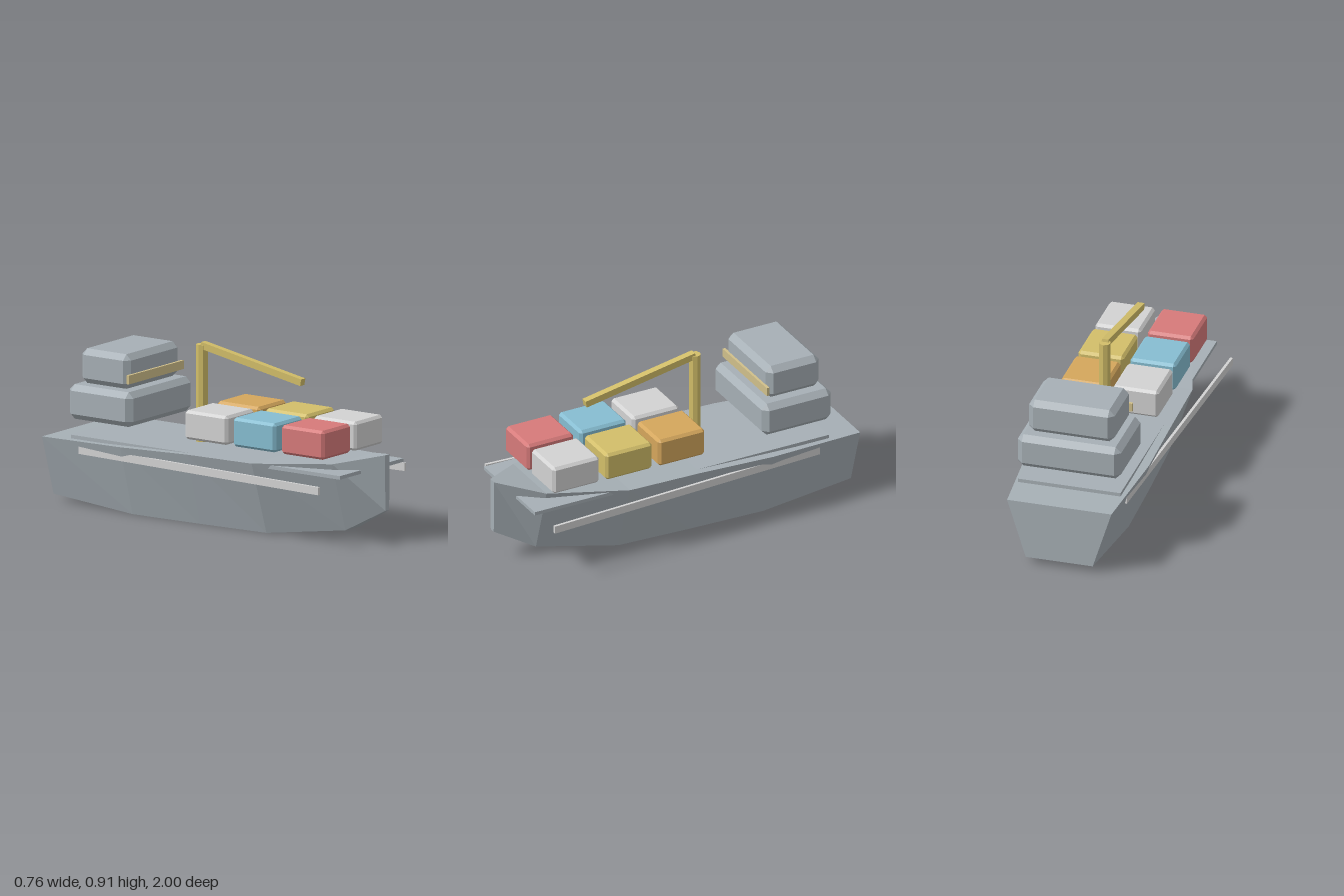
import * as THREE from 'three';
import { ConvexGeometry } from 'three/addons/geometries/ConvexGeometry.js';

const material = (name, color) => {
  const m = new THREE.MeshStandardMaterial({ color });
  m.name = name;
  return m;
};

// Box with every edge and corner cut flat by c
function chamferBox(w, h, d, c) {
  const points = [];
  for (const sx of [-1, 1]) for (const sy of [-1, 1]) for (const sz of [-1, 1]) {
    for (let full = 0; full < 3; full++) {
      const cut = [0, 1, 2].map((axis) => (axis === full ? 0 : c));
      points.push(new THREE.Vector3(
        sx * (w / 2 - cut[0]), sy * (h / 2 - cut[1]), sz * (d / 2 - cut[2])));
    }
  }
  return new ConvexGeometry(points);
}

// Four-cornered cross-sections lofted from bow to stern, with flat facets
function hullGeometry() {
  // z, deck half width, deck height, keel half width, keel height
  const stations = [
    [1, 0.021, 0.462, 0.016, 0.17],
    [0.78, 0.18, 0.415, 0.065, 0.048],
    [0.36, 0.308, 0.387, 0.18, 0.001],
    [-0.05, 0.316, 0.384, 0.2, 0],
    [-0.47, 0.322, 0.37, 0.214, 0],
    [-1, 0.28, 0.353, 0.18, 0.035],
  ];
  const rings = stations.map(([z, tw, ty, bw, by]) =>
    [[-tw, ty, z], [tw, ty, z], [bw, by, z], [-bw, by, z]]);
  const pos = [];
  const quad = (a, b, c, d) => pos.push(...a, ...b, ...c, ...a, ...c, ...d);
  for (let s = 0; s < rings.length - 1; s++) {
    for (let i = 0; i < 4; i++) {
      const j = (i + 1) % 4;
      quad(rings[s][i], rings[s][j], rings[s + 1][j], rings[s + 1][i]);
    }
  }
  const bow = rings[0], stern = rings[rings.length - 1];
  quad(bow[0], bow[3], bow[2], bow[1]);
  quad(stern[0], stern[1], stern[2], stern[3]);
  const g = new THREE.BufferGeometry();
  g.setAttribute('position', new THREE.Float32BufferAttribute(pos, 3));
  g.computeVertexNormals();
  return g;
}

export function createModel() {
  const grey = material('hull grey', 0xa6afb5);
  const pale = material('pale grey', 0xd2d2d2);
  const red = material('red', 0xd67a7a);
  const blue = material('blue', 0x86bdd1);
  const yellow = material('yellow', 0xd2be69);
  const orange = material('orange', 0xd4a65c);
  const tan = material('window tan', 0xd0bf8a);

  const ship = new THREE.Group();
  ship.name = 'cargoShip';
  const add = (name, geometry, mat, x, y, z) => {
    const mesh = new THREE.Mesh(geometry, mat);
    mesh.name = name;
    mesh.position.set(x, y, z);
    ship.add(mesh);
    return mesh;
  };

  // Hull and the flat deck plate through it
  add('hull', hullGeometry(), grey, 0, 0, 0);
  add('deckPlate', new THREE.BoxGeometry(0.55, 0.019, 1.72), grey, 0, 0.3745, 0.04);

  // Side rails splaying outwards towards the bow
  for (const side of [-1, 1]) {
    const rail = add(side > 0 ? 'leftRail' : 'rightRail',
      new THREE.BoxGeometry(0.015, 0.041, 1.6), pale, side * 0.328, 0.314, 0.04);
    rail.rotation.y = side * 0.056;
  }

  // Containers, two abreast
  const rows = [[0.648, red, pale], [0.339, blue, yellow], [0.031, pale, orange]];
  for (const [z, rightMat, leftMat] of rows) {
    add('rightContainer', chamferBox(0.245, 0.152, 0.272, 0.014), rightMat, -0.14, 0.525, z);
    add('leftContainer', chamferBox(0.245, 0.152, 0.272, 0.014), leftMat, 0.14, 0.525, z);
  }

  // Deckhouse in two tiers with a window band
  add('lowerDeckhouse', chamferBox(0.555, 0.182, 0.405, 0.03), grey, 0, 0.555, -0.643);
  add('upperDeckhouse', chamferBox(0.46, 0.182, 0.31, 0.03), grey, 0, 0.741, -0.645);
  add('windowBand', new THREE.BoxGeometry(0.478, 0.046, 0.016), tan, 0, 0.708, -0.484);

  // Crane
  const postGeometry = new THREE.CylinderGeometry(0.031, 0.031, 0.515, 8).toNonIndexed();
  postGeometry.computeVertexNormals();
  add('cranePost', postGeometry, yellow, 0, 0.636, -0.185);
  const jib = add('craneJib', new THREE.BoxGeometry(0.037, 0.036, 0.65), yellow, 0, 0.833, 0.14);
  jib.rotation.x = 0.18;

  return ship;
}
